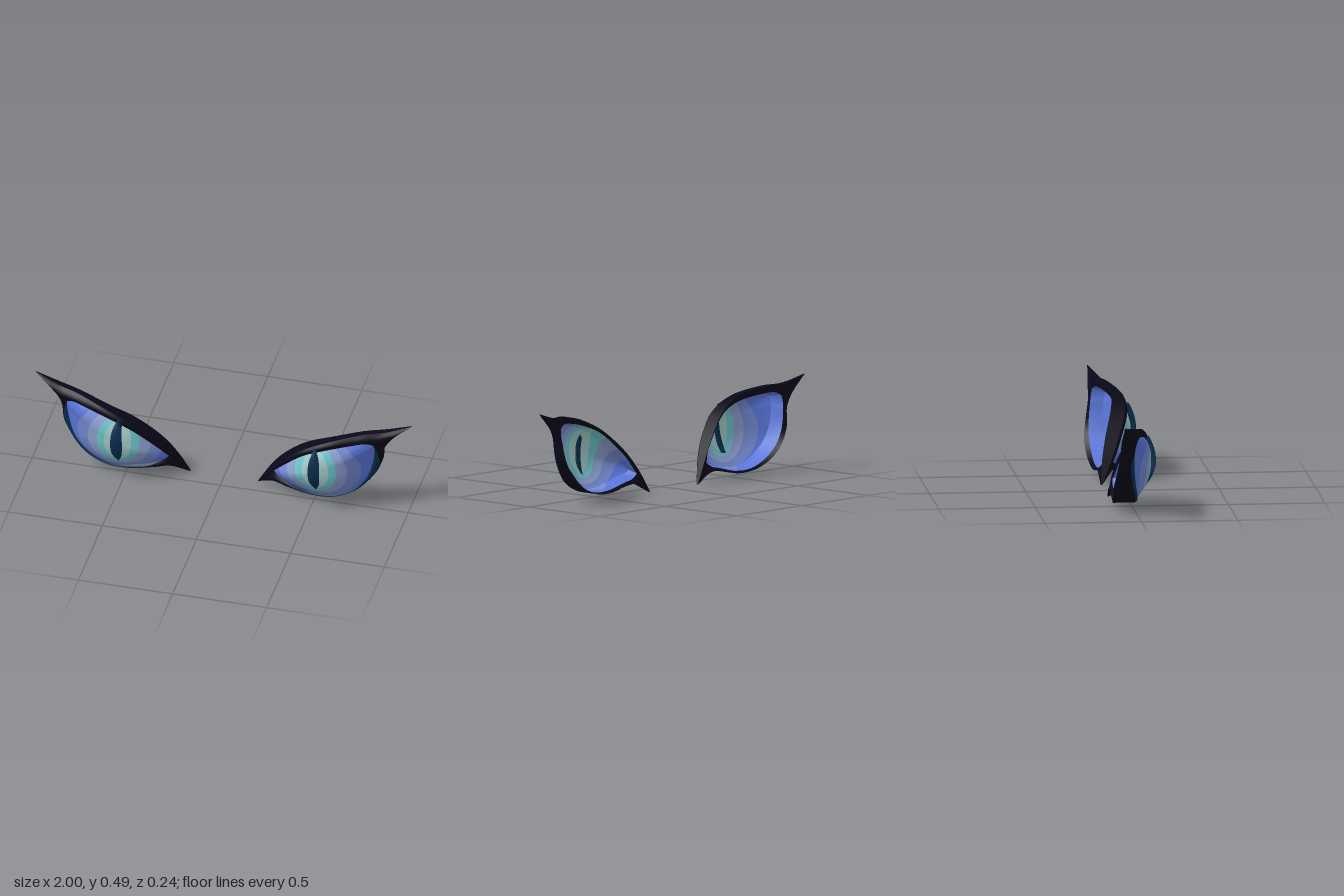
import * as THREE from 'three';
import { mergeGeometries } from 'three/addons/utils/BufferGeometryUtils.js';

const mat = (name, color) => {
  const m = new THREE.MeshStandardMaterial({ color, side: THREE.DoubleSide });
  m.name = name;
  return m;
};

// Lid stations from inner corner to outer corner:
// rim edge x, y, front z, back z, then opening edge x, y, front z, back z
const INNER = [0.18, 0.0, -0.085, -0.095, 0.275, 0.12, -0.035, -0.078];
const OUTER = [1.0, 0.49, -0.078, -0.083, 0.814, 0.388, -0.002, -0.075];
const UPPER = [
  INNER,
  [0.25, 0.12, -0.03, -0.08, 0.3, 0.15, -0.01, -0.065],
  [0.33, 0.227, 0.015, -0.055, 0.357, 0.213, 0.02, -0.045],
  [0.46, 0.345, 0.058, -0.015, 0.46, 0.308, 0.06, -0.01],
  [0.596, 0.41, 0.052, 0, 0.575, 0.36, 0.062, 0.003],
  [0.757, 0.446, -0.003, -0.04, 0.7, 0.393, 0.038, -0.03],
  [0.87, 0.454, -0.043, -0.075, 0.78, 0.403, 0.013, -0.06],
  OUTER,
];
const LOWER = [
  INNER,
  [0.275, 0.055, -0.03, -0.1, 0.3, 0.102, -0.02, -0.08],
  [0.36, 0.052, 0, -0.1, 0.37, 0.078, -0.002, -0.08],
  [0.48, 0.028, 0.002, -0.1, 0.48, 0.05, 0.002, -0.08],
  [0.6, 0.036, 0.002, -0.108, 0.595, 0.048, 0.006, -0.085],
  [0.71, 0.082, -0.008, -0.118, 0.7, 0.096, 0.0, -0.092],
  [0.785, 0.15, -0.03, -0.121, 0.772, 0.17, -0.012, -0.097],
  [0.84, 0.24, -0.045, -0.107, 0.806, 0.265, -0.02, -0.092],
  [0.855, 0.335, -0.05, -0.094, 0.817, 0.34, -0.015, -0.083],
  [0.895, 0.4, -0.06, -0.091, 0.818, 0.368, -0.008, -0.078],
  OUTER,
];
const STEPS = 72;
const CENTRE = new THREE.Vector3(0.525, 0.24, 0.094);
const { lerp, smoothstep } = THREE.MathUtils;

// Surface through rows of points; side -1 mirrors it across x
function loft(rows, side, flip = false) {
  const n = rows[0].length, index = [];
  const pos = rows.flatMap(r => r.flatMap(p => [p.x * side, p.y, p.z]));
  for (let i = 0; i < rows.length - 1; i++) {
    for (let j = 0; j < n - 1; j++) {
      const a = i * n + j, b = a + 1, c = a + n, d = c + 1;
      if ((side < 0) !== flip) index.push(a, c, b, b, c, d);
      else index.push(a, b, c, b, d, c);
    }
  }
  const g = new THREE.BufferGeometry();
  g.setAttribute('position', new THREE.Float32BufferAttribute(pos, 3));
  g.setIndex(index);
  g.computeVertexNormals();
  return g;
}

// Smooth edge lines of one lid; the opening widens towards the back
function lidEdges(stations) {
  const line = (x, z) => new THREE.CatmullRomCurve3(
    stations.map(s => new THREE.Vector3(s[x], s[x + 1], s[z]))).getPoints(STEPS);
  const rim = line(0, 2), rimBack = line(0, 3), opening = line(4, 6), openingBack = line(4, 7);
  openingBack.forEach((q, i) => {
    const dx = rim[i].x - q.x, dy = rim[i].y - q.y;
    const k = Math.min(0.5, 0.02 / Math.hypot(dx, dy));
    q.x += dx * k;
    q.y += dy * k;
  });
  // Rounded front slope between two fractions of its width at each step
  const slope = (from, to) => [0, 0.25, 0.5, 0.75, 1].map(s => rim.map((p, i) => {
    const k = lerp(from(i / STEPS), to(i / STEPS), s);
    const m = opening[i].clone().lerp(p, k);
    m.z += 0.012 * Math.sin(Math.PI * k);
    return m;
  }));
  return { opening, openingBack, slope, body: [[rim, rimBack], [rimBack, openingBack]] };
}

function createModel() {
  const model = new THREE.Group();
  const rimMat = mat('rim black', 0x0a0819);
  const navy = mat('navy', 0x0a2d4d);
  const irisMats = [
    mat('pale mint', 0xa4cecb), mat('teal', 0x70c8cf), mat('grey blue', 0x8ea1d0),
    mat('periwinkle', 0x758ad3), mat('blue', 0x5b77dc),
  ];
  const bands = [[0.072, 0.115], [0.112, 0.143], [0.165, 0.172], [0.23, 0.2], [9, 9]];

  for (const side of [1, -1]) {
    const eye = new THREE.Group();
    eye.name = side > 0 ? 'leftEye' : 'rightEye';
    model.add(eye);
    const add = (name, geometry, material) => {
      const m = new THREE.Mesh(geometry, material);
      m.name = name;
      eye.add(m);
    };

    // Eyelids: the lower lid has a navy inner slope that tapers to its corners
    const up = lidEdges(UPPER), low = lidEdges(LOWER);
    const zero = () => 0, one = () => 1;
    const navyWidth = t => 0.9 * smoothstep(t, 0.12, 0.3) * (1 - smoothstep(t, 0.7, 0.88));
    add('upperLid', mergeGeometries(
      [up.slope(zero, one), ...up.body].map(r => loft(r, side, true))), rimMat);
    add('lowerLid', mergeGeometries(
      [low.slope(navyWidth, one), ...low.body].map(r => loft(r, side))), rimMat);
    add('lowerLidFront', loft(low.slope(zero, navyWidth), side), navy);

    // Eyeball: a dome, then a wall running back inside the lids, in oval bands
    const ring = key => [...low[key], ...up[key].slice(0, -1).reverse()];
    const outline = ring('opening'), outlineBack = ring('openingBack');
    const flat = q => Math.hypot(q.x - CENTRE.x, q.y - CENTRE.y);
    const extent = outline.map((q, i) => Math.max(1.001, flat(outlineBack[i]) / flat(q)));
    const pointAt = (i, t) => {
      const q = outline[i];
      if (t > 1) return q.clone().lerp(outlineBack[i], (t - 1) / (extent[i] - 1));
      const p = CENTRE.clone().lerp(q, t);
      p.z = CENTRE.z + (q.z - CENTRE.z) * t ** 2.3;
      return p;
    };
    const banded = (name, start, end) => {
      const SUB = 4, rows = [];
      const reach = (i, k) => {
        if (k < 0) return start(i);
        const q = outline[i], [rx, ry] = bands[k];
        const t = 1 / Math.hypot((q.x - CENTRE.x) / rx, (q.y - CENTRE.y) / ry);
        return Math.min(end(i), Math.max(start(i), t));
      };
      bands.forEach((_, k) => {
        for (let s = k ? 1 : 0; s <= SUB; s++) {
          rows.push(outline.map((_, i) => pointAt(i, lerp(reach(i, k - 1), reach(i, k), s / SUB))));
        }
      });
      const g = loft(rows, side, true), perBand = SUB * (outline.length - 1) * 6;
      bands.forEach((_, k) => g.addGroup(k * perBand, perBand, k));
      add(name, g, irisMats);
    };
    banded('eyeball', () => 0.01, one);
    banded('eyeballWall', one, i => extent[i]);

    // Slit pupil: a tapered crescent through the eyeball, narrow and leaning behind
    const slit = new THREE.BoxGeometry(2, 2, 1, 6, 24, 1);
    const p = slit.attributes.position;
    for (let i = 0; i < p.count; i++) {
      const x = p.getX(i), v = p.getY(i), dy = v * 0.13, isFront = p.getZ(i) > 0;
      const drop = dy * dy * (dy > 0 ? 2.3 : 3.2);
      const z = isFront ? 0.122 - drop - 0.006 * x * x : 0.088 - 0.8 * drop;
      const width = (isFront ? 0.03 : 0.013) * (1 - Math.abs(v) ** 2.7) + 0.001;
      const lean = isFront ? 0 : -0.016 * v;
      p.setXYZ(i, side * (CENTRE.x + lean) + x * width, CENTRE.y + 0.002 + dy, z);
    }
    slit.computeVertexNormals();
    add('pupil', slit, navy);
  }
  return model;
}

export { createModel };
